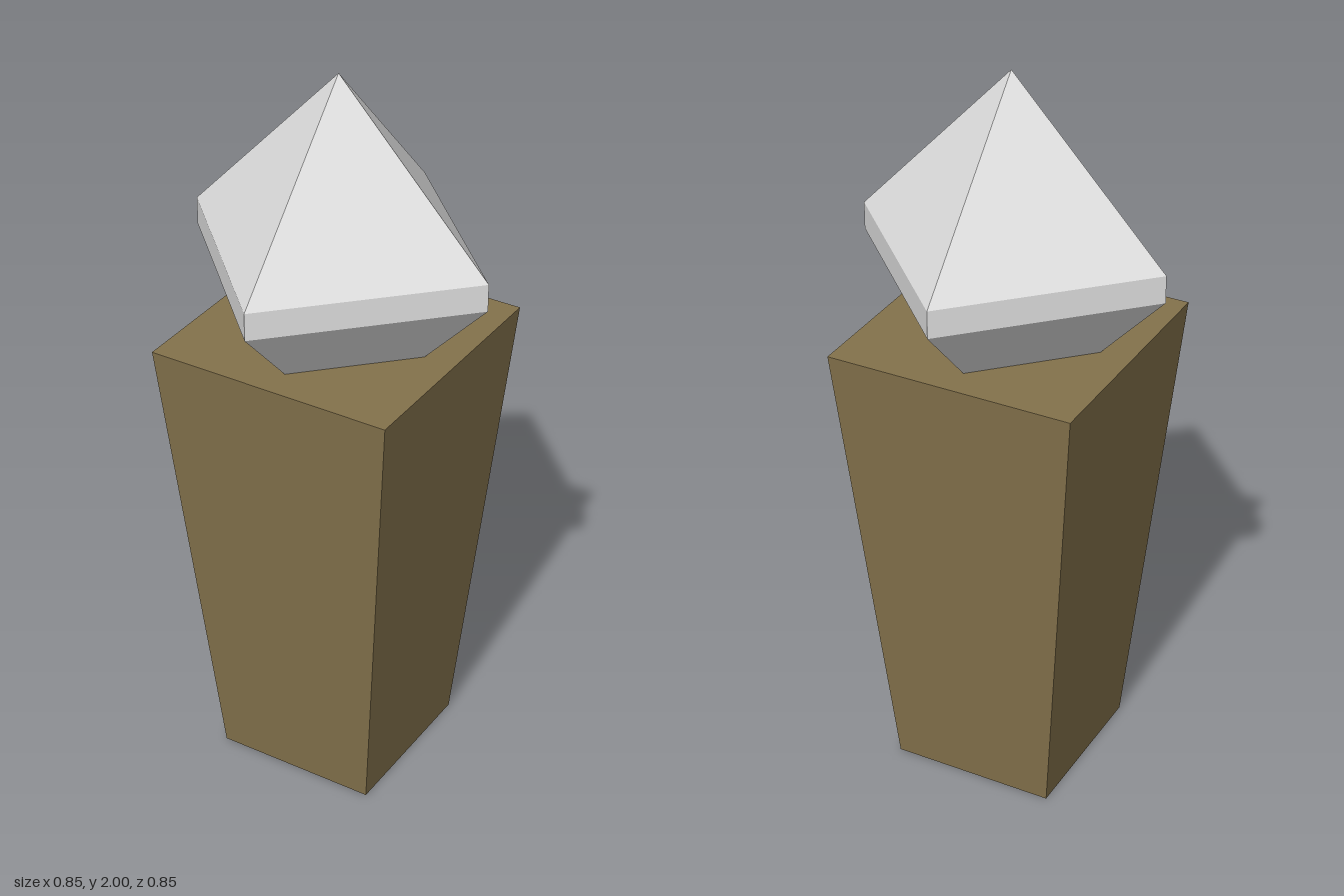
import * as THREE from 'three';

const stone = new THREE.MeshStandardMaterial({ color: 0xe0e0e0 });
stone.name = 'paleGrey';
const wood = new THREE.MeshStandardMaterial({ color: 0x84724c });
wood.name = 'brown';

// Gives every facet its own flat normal.
function facet(geometry) {
  const flat = geometry.index ? geometry.toNonIndexed() : geometry;
  flat.computeVertexNormals();
  return flat;
}

function addPart(group, name, geometry, material) {
  const mesh = new THREE.Mesh(facet(geometry), material);
  mesh.name = name;
  group.add(mesh);
}

export function createModel() {
  const group = new THREE.Group();
  group.name = 'gemPost';

  // Square post, tapering towards the ground
  const height = 1.285;
  const post = new THREE.CylinderGeometry(0.34 * Math.SQRT2, 0.227 * Math.SQRT2, height, 4);
  post.rotateY(Math.PI / 4);
  post.translate(0, height / 2, 0);
  addPart(group, 'post', post, wood);

  // Four-sided gem, corners on the axes, lower point sunk into the post
  const profile = [[0, 1.015], [0.427, 1.47], [0.427, 1.545], [0, 2]]
    .map(([r, y]) => new THREE.Vector2(r, y));
  addPart(group, 'gem', new THREE.LatheGeometry(profile, 4), stone);

  return group;
}
